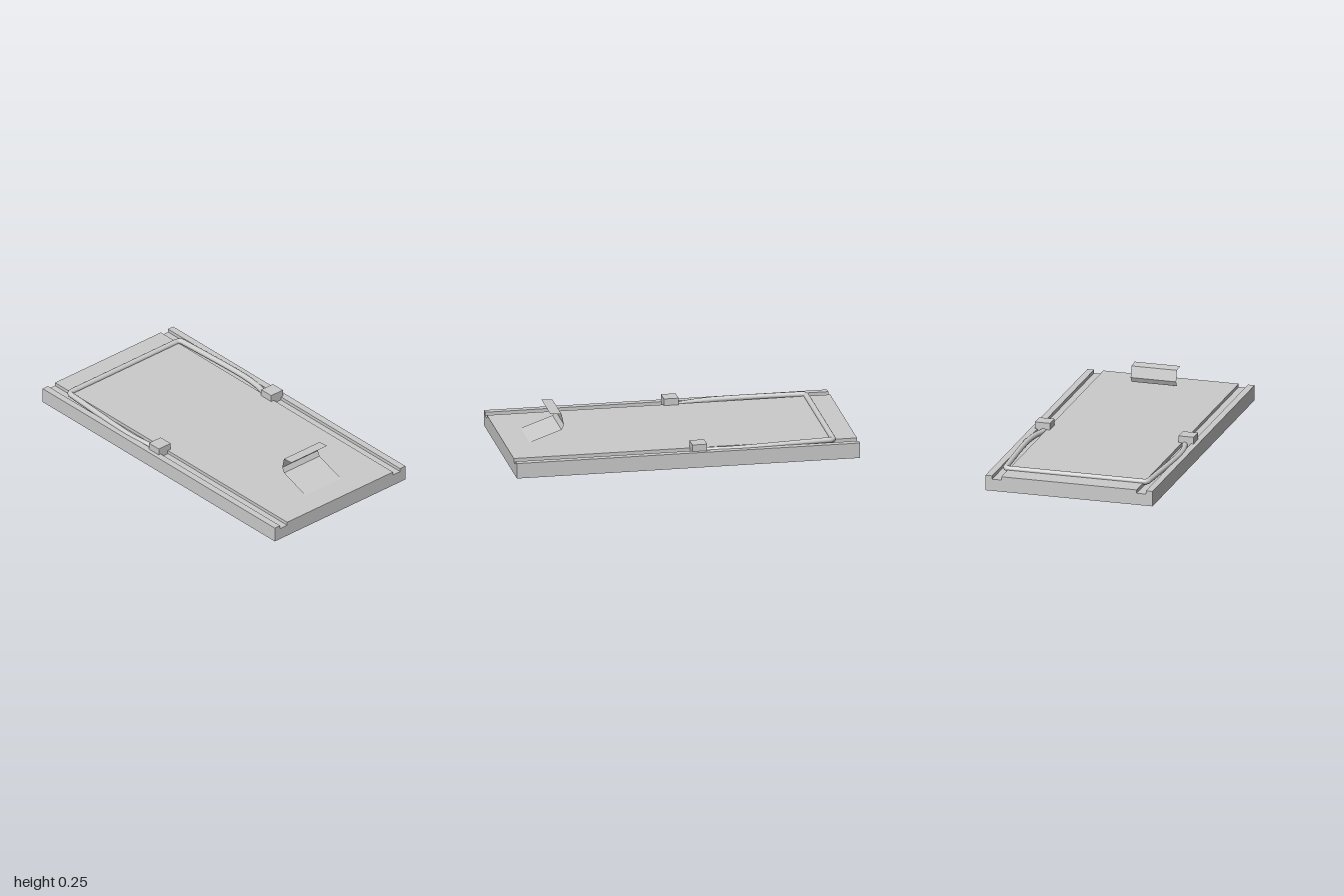
import * as THREE from 'three';

const grey = new THREE.MeshStandardMaterial({ color: 0xcccccc });
const greySheet = new THREE.MeshStandardMaterial({ color: 0xcccccc, side: THREE.DoubleSide, flatShading: true });

const TOP = 0.09;          // top of the base plate
const GROOVE_FLOOR = 0.07;
const GROOVE_IN = 0.405, GROOVE_OUT = 0.46;

function add(group, name, geometry, material = grey) {
  const mesh = new THREE.Mesh(geometry, material);
  mesh.name = name;
  group.add(mesh);
  return mesh;
}

// Plate with a groove along each long side, extruded along x
function basePlateGeometry() {
  const half = [[0.5, 0], [0.5, TOP], [GROOVE_OUT, TOP], [GROOVE_OUT, GROOVE_FLOOR],
    [GROOVE_IN, GROOVE_FLOOR], [GROOVE_IN, TOP]];
  const mirrored = half.map(([z, y]) => [-z, y]).reverse();
  const shape = new THREE.Shape([...half, ...mirrored].map(([z, y]) => new THREE.Vector2(z, y)));
  return new THREE.ExtrudeGeometry(shape, { depth: 2, bevelEnabled: false })
    .translate(0, 0, -1).rotateY(Math.PI / 2);
}

// Bent wire: two bowed arms joined by a straight crossbar
function wireBailGeometry() {
  const v = (x, y, z) => new THREE.Vector3(x, y, z);
  const arm = (s) => [v(-0.07, 0.078, 0.412 * s), v(-0.12, 0.08, 0.424 * s), v(-0.2, 0.083, 0.443 * s),
    v(-0.31, 0.087, 0.452 * s), v(-0.45, 0.09, 0.449 * s), v(-0.65, 0.093, 0.438 * s), v(-0.835, 0.095, 0.427 * s)];
  const corner = (s) => [v(-0.835, 0.095, 0.427 * s), v(-0.86, 0.095, 0.425 * s), v(-0.86, 0.095, 0.4 * s)];
  const path = new THREE.CurvePath();
  path.add(new THREE.CatmullRomCurve3(arm(1)));
  path.add(new THREE.QuadraticBezierCurve3(...corner(1)));
  path.add(new THREE.LineCurve3(v(-0.86, 0.095, 0.4), v(-0.86, 0.095, -0.4)));
  path.add(new THREE.QuadraticBezierCurve3(...corner(-1).reverse()));
  path.add(new THREE.CatmullRomCurve3(arm(-1).reverse()));
  return new THREE.TubeGeometry(path, 240, 0.016, 16, false);
}

// Thin folded sheet: a profile in x and y swept across z
function foldedTabGeometry() {
  const profile = [[0.855, TOP], [0.67, 0.155], [0.655, 0.185], [0.67, 0.25], [0.735, 0.255]];
  const geometry = new THREE.PlaneGeometry(1, 1, profile.length - 1, 1);
  const pos = geometry.attributes.position;
  for (let i = 0; i < pos.count; i++) {
    const [x, y] = profile[i % profile.length];
    pos.setXYZ(i, x, y, i < profile.length ? -0.136 : 0.136);
  }
  geometry.computeVertexNormals();
  return geometry;
}

export function createModel() {
  const model = new THREE.Group();
  model.name = 'slidingBailPlate';

  add(model, 'basePlate', basePlateGeometry());
  add(model, 'wireBail', wireBailGeometry());
  add(model, 'foldedTab', foldedTabGeometry(), greySheet);

  // Sliders: a block on the plate with a stem running in the groove
  for (const side of [1, -1]) {
    const slider = new THREE.Group();
    slider.name = side > 0 ? 'frontSlider' : 'backSlider';
    add(slider, 'sliderBlock', new THREE.BoxGeometry(0.086, 0.04, 0.09)).position.set(-0.07, TOP + 0.02, 0.43 * side);
    add(slider, 'sliderStem', new THREE.BoxGeometry(0.086, 0.02, 0.052)).position.set(-0.07, TOP - 0.01, 0.433 * side);
    model.add(slider);
  }
  return model;
}
